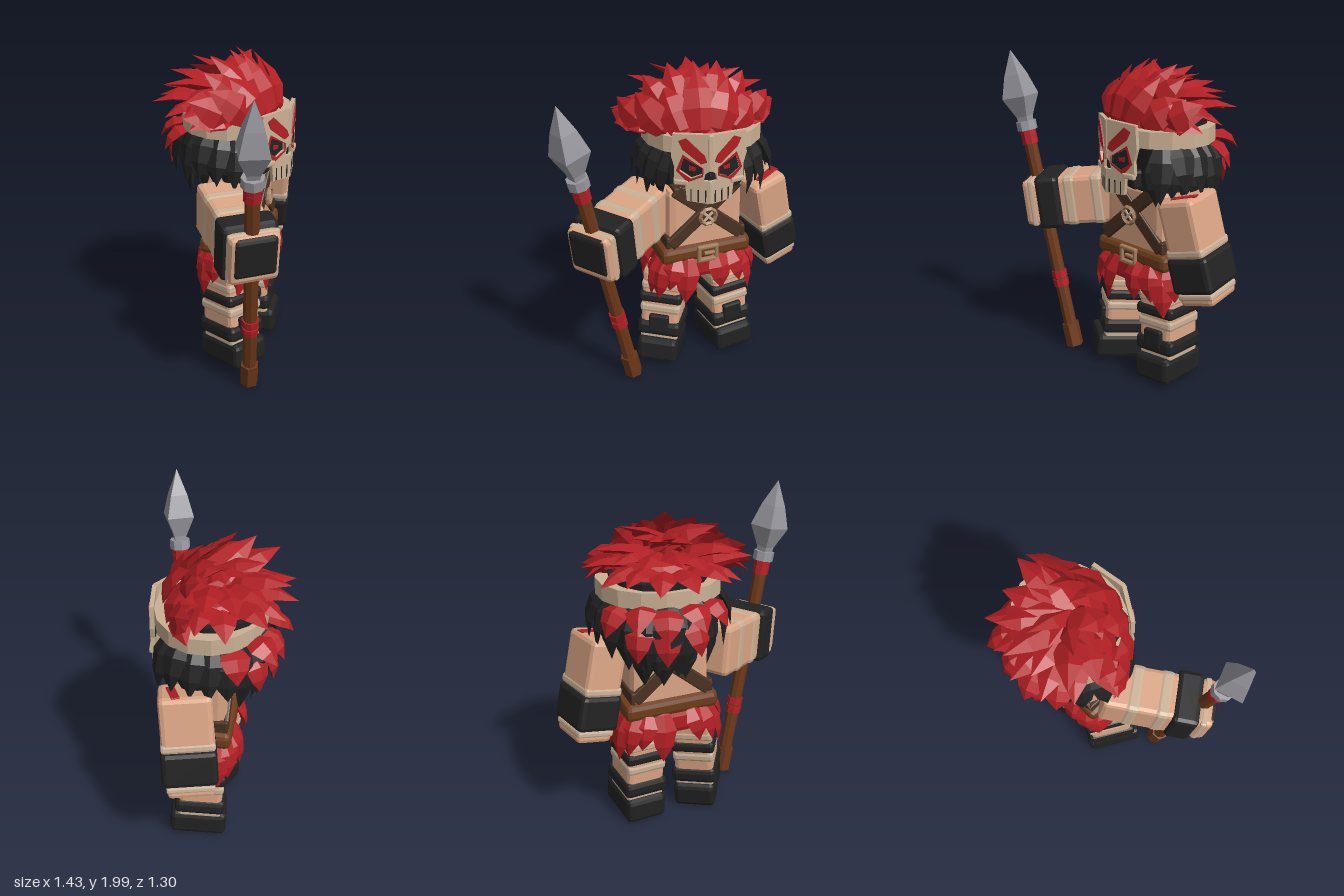
import * as THREE from 'three';
import { RoundedBoxGeometry } from 'three/addons/geometries/RoundedBoxGeometry.js';

const V = (x, y, z) => new THREE.Vector3(x, y, z);
const material = (name, color) => {
  const m = new THREE.MeshStandardMaterial({ color });
  m.name = name;
  return m;
};

export function createModel() {
  const red = material('feather red', 0xb21f24), black = material('black', 0x222223);
  const skin = material('skin', 0xdba585), bone = material('bone and bandage', 0xcbb196);
  const belt = material('belt leather', 0x6f3d1c), strap = material('strap leather', 0x4a3122);
  const wood = material('spear wood', 0x6d3819), steel = material('steel', 0x98979e);
  const tan = material('buckle tan', 0xa07c5c);

  const group = (parent, name, x = 0, y = 0, z = 0, yaw = 0) => {
    const g = new THREE.Group();
    g.name = name;
    g.position.set(x, y, z);
    g.rotation.y = yaw;
    parent.add(g);
    return g;
  };
  // Every part is faceted
  const facet = (geo) => {
    const g = geo.index ? geo.toNonIndexed() : geo;
    g.computeVertexNormals();
    return g;
  };
  const add = (parent, name, geo, mat, x = 0, y = 0, z = 0) => {
    const m = new THREE.Mesh(facet(geo), mat);
    m.name = name;
    m.position.set(x, y, z);
    parent.add(m);
    return m;
  };
  const box = (parent, name, mat, w, h, d, x, y, z, r = 0.02) =>
    add(parent, name, new RoundedBoxGeometry(w, h, d, 1, Math.min(r, h * 0.3, w * 0.3, d * 0.3)), mat, x, y, z);

  // Pointed leaf, used for feathers, hair locks and skirt strips
  const leaf = new THREE.LatheGeometry(
    [[0, 0], [0.6, 0.08], [1, 0.38], [0.72, 0.68], [0, 1]].map(([x, y]) => new THREE.Vector2(x, y)), 4);
  const blade = (parent, name, mat, base, tip, out, width, bulge = 0.04) => {
    const y = tip.clone().sub(base), len = y.length();
    y.normalize();
    const x = y.clone().cross(out).normalize(), z = x.clone().cross(y);
    const g = leaf.clone().scale(width, len, width * 0.36);
    const p = g.attributes.position;
    for (let i = 0; i < p.count; i++) p.setZ(i, p.getZ(i) + bulge * Math.sin(Math.PI * p.getY(i) / len));
    g.applyMatrix4(new THREE.Matrix4().makeBasis(x, y, z).setPosition(base));
    add(parent, name, g, mat);
  };

  // Limb: blocks [name, material, start, end, width, depth] stacked from top to bottom
  const limb = (parent, name, top, bottom, yaw, blocks) => {
    const g = group(parent, name, top.x, top.y, top.z);
    const y = top.clone().sub(bottom).normalize();
    const z = V(Math.cos(yaw), 0, -Math.sin(yaw)).cross(y).normalize();
    g.quaternion.setFromRotationMatrix(new THREE.Matrix4().makeBasis(y.clone().cross(z), y, z));
    for (const [n, m, a, b, w, d, dz = 0] of blocks) box(g, n, m, w, b - a, d, 0, -(a + b) / 2, dz, 0.03);
    return g;
  };

  const root = new THREE.Group();
  root.name = 'spear warrior';

  // Torso
  const body = group(root, 'body', 0.07, 0, -0.13, 0.42);
  box(body, 'torso', skin, 0.5, 0.6, 0.3, 0, 0.96, 0, 0.05);
  box(body, 'neck', skin, 0.24, 0.12, 0.22, 0, 1.28, 0);
  box(body, 'belt', belt, 0.6, 0.11, 0.37, 0, 0.805, 0, 0.04);
  for (const s of [-1, 1]) {
    box(body, 'buckleBar', tan, 0.026, 0.115, 0.03, s * 0.058, 0.8, 0.19);
    box(body, 'buckleBar', tan, 0.13, 0.026, 0.03, 0, 0.8 + s * 0.045, 0.19);
    box(body, 'sideStrap', strap, 0.03, 0.08, 0.33, s * 0.25, 0.9, 0);
    box(body, 'shoulderStrap', strap, 0.09, 0.03, 0.33, s * 0.17, 1.26, 0);
    for (const f of [-1, 1]) {
      const st = box(body, 'crossStrap', strap, 0.58, 0.085, 0.03, s * -0.02, 1.07, f * (0.155 + s * 0.004));
      st.rotation.z = s * 0.7;
    }
  }
  box(body, 'buckleTongue', tan, 0.07, 0.02, 0.03, 0.01, 0.8, 0.19);
  add(body, 'medallion', new THREE.CylinderGeometry(0.055, 0.055, 0.03, 10), strap, 0, 1.06, 0.175).rotation.x = Math.PI / 2;
  add(body, 'medallionRim', new THREE.TorusGeometry(0.052, 0.014, 4, 10), tan, 0, 1.06, 0.19);
  for (const s of [-1, 1])
    box(body, 'medallionCross', bone, 0.08, 0.018, 0.012, 0, 1.06, 0.19).rotation.z = s * Math.PI / 4;

  // Feather skirt
  box(body, 'skirtLining', red, 0.56, 0.16, 0.35, 0, 0.69, 0, 0.04);
  const N = 17;
  for (let i = 0; i < N; i++) {
    const a = i / N * Math.PI * 2, c = Math.cos(a), s = Math.sin(a);
    const q = (v) => Math.sign(v) * Math.abs(v) ** 0.6;
    const x = q(c) * 0.27, z = q(s) * 0.165, drop = 0.52 + 0.06 * Math.sin(i * 2.3);
    blade(body, 'skirtFeather', red, V(x, 0.79, z), V(x * 1.3, drop, z * 1.35), V(c, 0.1, s), 0.08, 0.03);
  }

  // Legs
  const legBlocks = (n) => [
    [n + 'Thigh', skin, 0, 0.4, 0.25, 0.28], ['thighBandage', bone, 0.08, 0.15, 0.258, 0.288],
    ['thighBand', black, 0.16, 0.235, 0.28, 0.31], ['legBandage', bone, 0.245, 0.31, 0.262, 0.292],
    ['shin', skin, 0.33, 0.46, 0.25, 0.28], ['ankleBandage', bone, 0.45, 0.52, 0.245, 0.28],
    ['bootCuff', black, 0.37, 0.475, 0.285, 0.32], ['kneePlate', black, 0.315, 0.44, 0.13, 0.04, 0.15],
    ['boot', black, 0.49, 0.655, 0.265, 0.36, 0.005]];
  limb(root, 'rightLeg', V(-0.125, 0.66, -0.06), V(-0.16, 0, 0), -0.13, legBlocks('right'));
  limb(root, 'leftLeg', V(0.215, 0.66, -0.2), V(0.25, 0, -0.19), 0.52, legBlocks('left'));

  // Left arm, hanging
  const leftArm = limb(root, 'leftArm', V(0.44, 1.25, -0.21), V(0.55, 0.61, -0.33), 0.62, [
    ['upperArm', skin, 0, 0.36, 0.24, 0.31], ['armBandage', bone, 0.29, 0.345, 0.248, 0.318],
    ['glove', black, 0.34, 0.57, 0.27, 0.33], ['hand', skin, 0.56, 0.65, 0.23, 0.28],
    ['handBandage', bone, 0.57, 0.61, 0.238, 0.288]]);
  box(leftArm, 'armPaint', red, 0.16, 0.009, 0.05, 0.03, 0.001, 0.065, 0.003).rotation.y = 0.2;

  // Right arm, held forward around the spear
  limb(root, 'rightArm', V(-0.2, 1.1, -0.08), V(-0.55, 1.015, 0.53), -0.5, [
    ['upperArm', skin, 0, 0.45, 0.29, 0.32], ['upperBandage', bone, 0.13, 0.23, 0.3, 0.33],
    ['foreBandage', bone, 0.31, 0.41, 0.3, 0.33], ['glove', black, 0.42, 0.58, 0.34, 0.35],
    ['hand', skin, 0.56, 0.67, 0.3, 0.3], ['handBandage', bone, 0.59, 0.63, 0.307, 0.307],
    ['knuckleGuard', black, 0.6, 0.68, 0.26, 0.25, 0.02]]);

  // Spear
  const spear = group(root, 'spear', -0.32, 0.01, 0.27);
  spear.quaternion.setFromUnitVectors(V(0, 1, 0), V(-0.32, 1.97, 0.3).normalize());
  const rod = (name, mat, y0, y1, r, n = 8) =>
    add(spear, name, new THREE.CylinderGeometry(r, r, y1 - y0, n), mat, 0, (y0 + y1) / 2, 0);
  rod('shaft', wood, 0.02, 1.55, 0.043);
  rod('buttCap', wood, 0.0, 0.16, 0.057, 6);
  for (const y of [0.43, 0.49, 1.41, 1.46]) rod('shaftWrap', red, y, y + 0.048, 0.052);
  rod('collar', steel, 1.5, 1.56, 0.066);
  add(spear, 'spearHead', new THREE.LatheGeometry(
    [[0.045, 1.54], [0.055, 1.59], [0.12, 1.72], [0.075, 1.86], [0, 2.02]].map(([x, y]) => new THREE.Vector2(x, y)), 4), steel);

  // Head core and headband
  const head = group(root, 'head', 0.09, 0, -0.17, 0.2);
  const core = new THREE.CylinderGeometry(0.3, 0.27, 0.42, 14);
  const cp = core.attributes.position;
  for (let i = 0; i < cp.count; i++) cp.setZ(i, Math.min(cp.getZ(i), 0.2));
  add(head, 'hairCap', core, black, 0, 1.45, 0);
  add(head, 'crown', new THREE.SphereGeometry(0.28, 12, 4, 0, Math.PI * 2, 0, Math.PI / 2).scale(1, 0.55, 0.95), red, 0, 1.62, 0);
  box(head, 'chin', black, 0.26, 0.12, 0.2, 0, 1.31, 0.15);
  const band = add(head, 'headband', new THREE.CylinderGeometry(0.37, 0.37, 0.1, 16), bone, 0, 1.575, 0);
  band.scale.set(1, 1, 0.88);

  // Skull mask: two angled halves joined by a central ridge
  const plate = (parent, name, pts, s, mat, depth, z, hole) => {
    const toV = (l) => l.map(([x, y]) => new THREE.Vector2(x * s, y));
    const shape = new THREE.Shape(toV(pts));
    if (hole) shape.holes.push(new THREE.Path(toV(hole)));
    return add(parent, name, new THREE.ExtrudeGeometry(shape, { depth, bevelEnabled: false }), mat, 0, 0, z);
  };
  const eye = [[0.045, 1.46], [0.155, 1.515], [0.18, 1.43], [0.11, 1.385], [0.045, 1.415]];
  const rim = [[0.035, 1.455], [0.16, 1.535], [0.2, 1.43], [0.13, 1.36], [0.1, 1.375], [0.038, 1.405]];
  for (const s of [-1, 1]) {
    const half = group(head, s > 0 ? 'maskLeft' : 'maskRight', 0, 0, 0.345, s * 0.34);
    plate(half, 'skullPlate', [[0, 1.67], [0.22, 1.66], [0.23, 1.52], [0.21, 1.45], [0.215, 1.36], [0.145, 1.335],
      [0.135, 1.235], [0, 1.225], [0, 1.375], [0.035, 1.375], [0.025, 1.42], [0, 1.44]], s, bone, 0.025, 0, eye);
    plate(half, 'eyePaint', rim, s, red, 0.004, 0.025, eye);
    plate(half, 'eyeSocket', eye, s, black, 0.006, 0.002);
    plate(half, 'iris', [[0.08, 1.45], [0.125, 1.46], [0.125, 1.43], [0.09, 1.43]], s, red, 0.004, 0.008);
    plate(half, 'noseHollow', [[0, 1.44], [0.04, 1.43], [0.04, 1.37], [0, 1.37]], s, black, 0.005, 0.003);
    plate(half, 'browPaint', [[0.015, 1.5], [0.03, 1.54], [0.14, 1.64], [0.185, 1.62], [0.16, 1.57], [0.05, 1.485]], s, red, 0.008, 0.025);
    box(half, 'cheekbone', bone, 0.09, 0.035, 0.03, s * 0.17, 1.355, 0.02);
    for (const x of [0.022, 0.066, 0.11]) box(half, 'toothGap', black, 0.008, 0.08, 0.006, s * x, 1.275, 0.024, 0.001);
  }
  box(head, 'noseRidge', bone, 0.034, 0.235, 0.03, 0, 1.552, 0.356, 0.008);
  box(head, 'jawRidge', bone, 0.024, 0.15, 0.03, 0, 1.3, 0.355, 0.006);

  // Hair and feather rows: blades fanned around the head, tips swept back in z
  const polar = (a, r, y, z = 0) => V(Math.sin(a) * r, y, Math.cos(a) * r + z);
  const row = (parent, name, mat, n, mid, step, [r0, y0], [r1, y1], width, jit = 0.03, sweep = 0) => {
    for (let i = 0; i < n; i++) {
      const a = mid + (i - (n - 1) / 2) * step, j = jit * Math.sin(i * 2.7 + n);
      blade(parent, name, mat, polar(a, r0, y0), polar(a + j, r1 + j * 0.6, y1 + j, sweep), polar(a, 1, 0.6), width);
    }
  };
  const B = Math.PI;
  for (const s of [-1, 1]) {
    row(head, 'sideLock', black, 4, s * 1.5, 0.28, [0.29, 1.58], [0.42, 1.25], 0.075, 0.06);
    row(head, 'innerSideLock', black, 4, s * 1.35, 0.24, [0.27, 1.5], [0.33, 1.2], 0.07, 0.04);
  }
  row(head, 'backLock', black, 7, B, 0.33, [0.3, 1.56], [0.35, 1.16], 0.095, 0.06);
  row(head, 'napeLock', black, 5, B, 0.22, [0.25, 1.42], [0.28, 1.06], 0.085, 0.05);

  // Plume: a front fan leaning back, then layers covering the crown
  const plume = group(head, 'plume', -0.05, 0, 0);
  for (let i = -4; i <= 4; i++) {
    const a = i * 0.4, s = Math.sin(a), j = 0.035 * Math.sin(i * 2.1 + 1);
    blade(plume, 'frontFeather', red, polar(a * 0.9, 0.29, 1.63),
      V(0.49 * s, 1.94 - 0.22 * s * s + j, 0.1 - 0.12 * s * s - Math.abs(j)), polar(a, 1, 0.6), 0.1);
  }
  for (const s of [-1, 1])
    blade(plume, 'sideFeather', red, V(s * 0.2, 1.64, 0.12), V(s * 0.48, 1.62, -0.02), V(s * 0.5, 1, 0.4), 0.085);
  for (let i = -2; i <= 2; i++)
    blade(plume, 'crestFeather', red, V(i * 0.07, 1.7, 0.2 - 0.02 * i * i),
      V(i * 0.15, 1.985 - 0.018 * i * i, -0.02 - 0.04 * (i & 1)), V(i * 0.3, 0.7, 1), 0.085);
  row(plume, 'topFeather', red, 7, B, 0.5, [-0.14, 1.7], [0.27, 1.9], 0.095, 0.04);
  row(plume, 'backUpperFeather', red, 7, B, 0.46, [0.02, 1.7], [0.43, 1.79], 0.1, 0.04);
  row(plume, 'backFeather', red, 8, B, 0.42, [0.12, 1.66], [0.48, 1.67], 0.09, 0.04);
  row(head, 'backLowerFeather', red, 5, B, 0.42, [0.29, 1.53], [0.47, 1.4], 0.09, 0.04);
  row(head, 'napeFeather', red, 3, B, 0.45, [0.3, 1.46], [0.4, 1.22], 0.085);

  return root;
}
